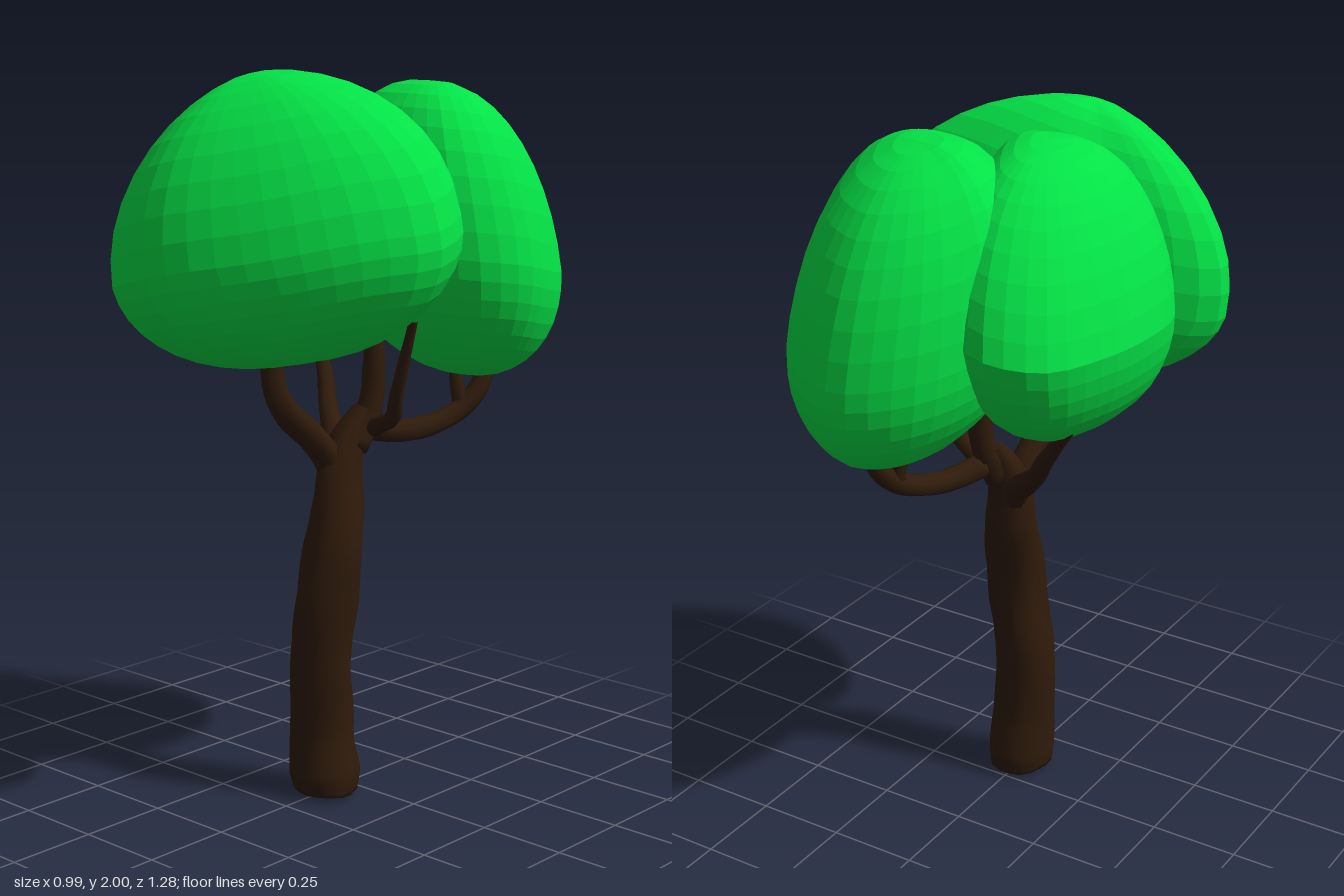
import * as THREE from 'three';

const bark = new THREE.MeshStandardMaterial({ color: 0x2f1b0b });
const leaf = new THREE.MeshStandardMaterial({ color: 0x04e246, flatShading: true });
const vec = (p) => new THREE.Vector3(p[0], p[1], p[2]);

// Tapered limb through points [x, y, z, radius], closed at its start; bump adds gnarled bark
function limb(name, pts, sides, steps, bump) {
  const curve = new THREE.CatmullRomCurve3(pts.map(vec));
  const geo = new THREE.TubeGeometry(curve, steps, 1, sides, false);
  const pos = geo.attributes.position;
  const v = new THREE.Vector3();
  for (let i = 0; i <= steps; i++) {
    const u = i / steps;
    const center = curve.getPointAt(u);
    const t = curve.getUtoTmapping(u) * (pts.length - 1);
    const k = Math.min(Math.floor(t), pts.length - 2);
    const r = i === 0 ? 0 : THREE.MathUtils.lerp(pts[k][3], pts[k + 1][3], t - k);
    for (let j = 0; j <= sides; j++) {
      const a = (j / sides) * Math.PI * 2;
      const wave = Math.sin(3 * a + 5 * u) * 0.6 + Math.sin(2 * a - 17 * u) * 0.4 + Math.sin(5 * a + 23 * u) * 0.5;
      const n = i * (sides + 1) + j;
      v.fromBufferAttribute(pos, n).sub(center).multiplyScalar(r * (1 + bump * wave)).add(center);
      pos.setXYZ(n, v.x, Math.max(v.y, 0), v.z);
    }
  }
  geo.computeVertexNormals();
  // share normals across the tube's seam
  const nor = geo.attributes.normal;
  for (let i = 0; i <= steps; i++) {
    const a = i * (sides + 1), b = a + sides;
    v.fromBufferAttribute(nor, a).add(new THREE.Vector3().fromBufferAttribute(nor, b)).normalize();
    nor.setXYZ(a, v.x, v.y, v.z);
    nor.setXYZ(b, v.x, v.y, v.z);
  }
  const mesh = new THREE.Mesh(geo, bark);
  mesh.name = name;
  return mesh;
}

// Foliage: a closed widest outline [x, y, z], swept up to a top and down to a bottom pole.
// taper above 1 gives a pointed upper half, below 1 a fuller one
function foliage(name, center, top, bottom, taper, outline) {
  const around = 36, rows = 20;
  const curve = new THREE.CatmullRomCurve3(outline.map(vec), true);
  const c = vec(center), up = vec(top).sub(c), down = vec(bottom).sub(c);
  const geo = new THREE.SphereGeometry(1, around, rows);
  const pos = geo.attributes.position;
  for (let i = 0; i <= rows; i++) {
    const lat = Math.PI / 2 - (i / rows) * Math.PI;
    const s = Math.sin(lat);
    const w = Math.max(Math.cos(lat), 0) ** (s > 0 ? taper : 0.9);
    for (let j = 0; j <= around; j++) {
      const p = curve.getPointAt((j / around) % 1).sub(c).multiplyScalar(w).add(c);
      p.addScaledVector(s > 0 ? up : down, Math.abs(s));
      pos.setXYZ(i * (around + 1) + j, p.x, p.y, p.z);
    }
  }
  geo.computeVertexNormals();
  const mesh = new THREE.Mesh(geo, leaf);
  mesh.name = name;
  return mesh;
}

export function createModel() {
  const tree = new THREE.Group();
  tree.name = 'tree';

  // Trunk, leaning back as it rises
  tree.add(limb('trunk', [
    [0.008, 0, 0.096, 0.09], [0.006, 0.06, 0.094, 0.099], [-0.006, 0.18, 0.095, 0.087], [-0.008, 0.4, 0.096, 0.085],
    [0.01, 0.56, 0.097, 0.084], [0.018, 0.7, 0.082, 0.081], [0.013, 0.82, 0.058, 0.073],
    [0.007, 0.92, 0.04, 0.062], [0.012, 1.0, 0.01, 0.048], [0.025, 1.08, -0.04, 0.03],
  ], 18, 90, 0.07));

  // Branches
  const branches = {
    frontBranch: [[0.0, 0.86, 0.04, 0.035], [-0.005, 0.95, 0.07, 0.042], [-0.012, 1.03, 0.14, 0.04], [-0.02, 1.11, 0.228, 0.037], [-0.03, 1.18, 0.258, 0.033], [-0.035, 1.34, 0.26, 0.028]],
    middleBranch: [[0.02, 0.96, 0.01, 0.045], [0.033, 1.08, -0.055, 0.036], [0.036, 1.18, -0.068, 0.032], [0.03, 1.34, -0.07, 0.026]],
    rightBranch: [[0.0, 0.87, 0.04, 0.035], [-0.04, 0.945, 0.0, 0.037], [-0.1, 1.0, -0.05, 0.033], [-0.155, 1.05, -0.09, 0.027], [-0.22, 1.14, -0.145, 0.023], [-0.32, 1.27, -0.2, 0.016]],
    backBranch: [[0.03, 1.03, -0.03, 0.036], [0.07, 1.01, -0.13, 0.032], [0.1, 1.015, -0.22, 0.031], [0.13, 1.05, -0.32, 0.03], [0.155, 1.11, -0.38, 0.028], [0.16, 1.22, -0.43, 0.022]],
    backTwig: [[0.13, 1.06, -0.33, 0.022], [0.12, 1.12, -0.325, 0.02], [0.1, 1.22, -0.33, 0.014]],
    leftBranch: [[0.04, 1.02, -0.04, 0.028], [0.1, 1.05, -0.03, 0.024], [0.165, 1.08, 0.0, 0.022], [0.2, 1.15, 0.025, 0.019], [0.28, 1.36, 0.05, 0.012]],
  };
  for (const [name, pts] of Object.entries(branches)) tree.add(limb(name, pts, 10, 18, 0.05));

  // Three overlapping crowns, outlines running from -x through +z
  tree.add(foliage('frontFoliage', [0.0, 1.53, 0.27], [-0.1, 1.993, 0.265], [0.08, 1.25, 0.25], 1.22, [
    [-0.49, 1.44, 0.28], [-0.44, 1.42, 0.43], [-0.28, 1.45, 0.585], [-0.07, 1.5, 0.637], [0.2, 1.55, 0.53],
    [0.4, 1.6, 0.36], [0.488, 1.62, 0.19], [0.41, 1.66, 0.02], [0.26, 1.66, -0.015], [0.05, 1.61, 0.0],
    [-0.2, 1.52, 0.1], [-0.42, 1.46, 0.19],
  ]));
  tree.add(foliage('backFoliage', [0.14, 1.48, -0.29], [0.115, 1.965, -0.23], [0.14, 1.152, -0.325], 0.84, [
    [-0.195, 1.51, -0.35], [-0.175, 1.52, -0.19], [-0.06, 1.53, -0.03], [0.12, 1.53, 0.03], [0.27, 1.53, 0.03],
    [0.4, 1.52, -0.02], [0.468, 1.5, -0.17], [0.42, 1.46, -0.37], [0.31, 1.44, -0.54], [0.11, 1.43, -0.638],
    [-0.05, 1.45, -0.575], [-0.155, 1.48, -0.45],
  ]));
  tree.add(foliage('rightFoliage', [-0.2, 1.54, -0.1], [-0.13, 1.95, 0.0], [-0.18, 1.2, -0.04], 0.88, [
    [-0.465, 1.5, -0.03], [-0.44, 1.5, 0.13], [-0.35, 1.53, 0.235], [-0.17, 1.56, 0.225], [-0.01, 1.58, 0.13],
    [0.05, 1.6, -0.02], [-0.01, 1.58, -0.24], [-0.12, 1.54, -0.42], [-0.23, 1.52, -0.465], [-0.36, 1.5, -0.4],
    [-0.44, 1.5, -0.23],
  ]));
  return tree;
}
